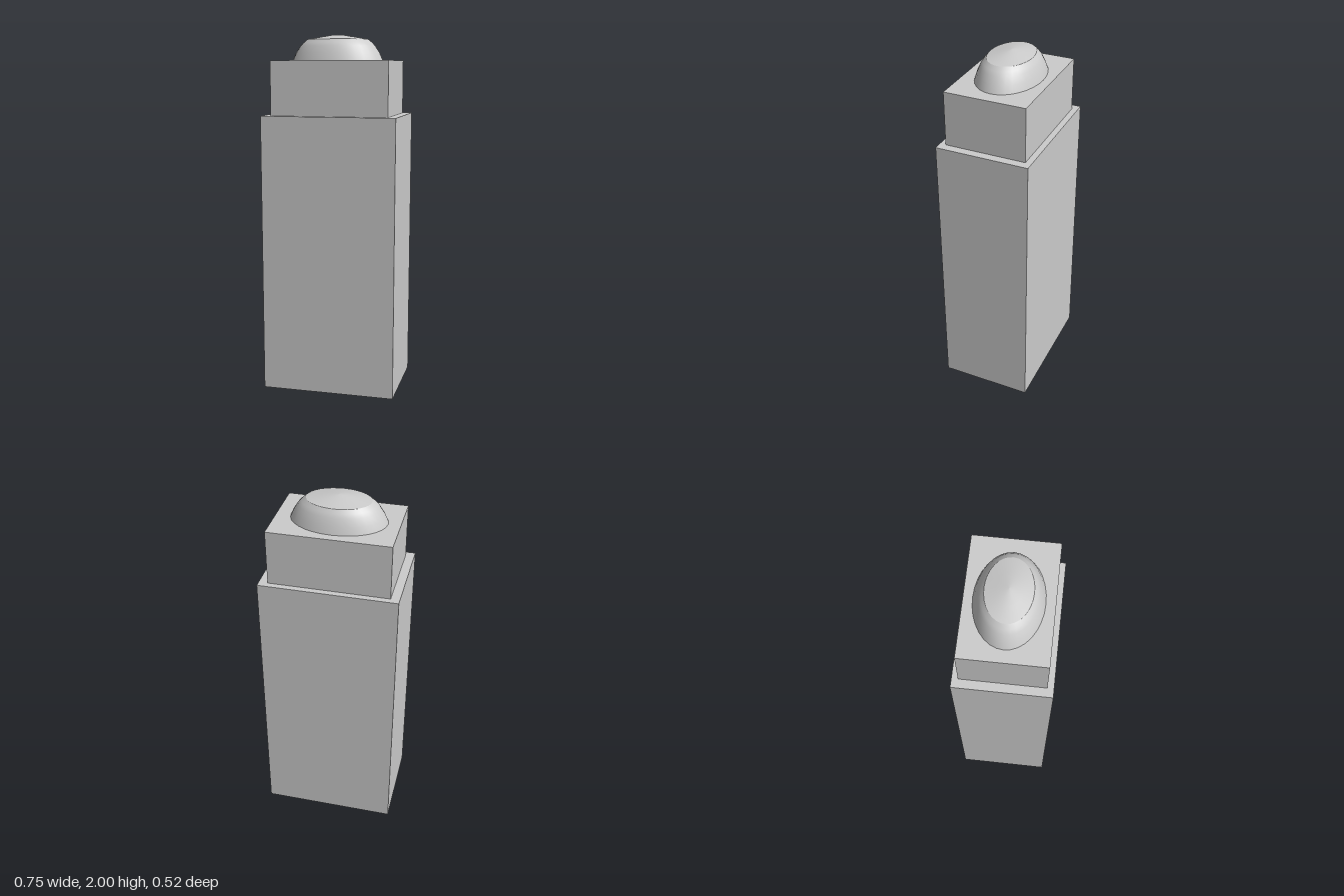
import * as THREE from 'three';

export function createModel() {
  const model = new THREE.Group();
  const material = new THREE.MeshStandardMaterial({ color: 0xcccccc });

  const add = (name, geometry) => {
    const mesh = new THREE.Mesh(geometry, material);
    mesh.name = name;
    model.add(mesh);
    return mesh;
  };

  // Box resting on height y0
  const block = (name, w, y0, y1, d) => {
    add(name, new THREE.BoxGeometry(w, y1 - y0, d)).position.y = (y0 + y1) / 2;
  };

  // Oval turned surface, profile listed from bottom to top
  const oval = (name, profile) => {
    const points = profile.map(([r, y]) => new THREE.Vector2(r, y));
    const mesh = add(name, new THREE.LatheGeometry(points, 32));
    mesh.scale.z = 0.691;
    mesh.position.set(-0.005, 0, -0.001);
  };

  // Stepped tower
  block('mainBody', 0.75, 0, 1.56, 0.518);
  block('upperBlock', 0.654, 1.56, 1.86, 0.45);

  // Dome: rounded flank, then a shallow pointed cap with a crisp rim
  oval('domeFlank', [[0.256, 1.86], [0.238, 1.9], [0.213, 1.938], [0.195, 1.957], [0.172, 1.975]]);
  oval('domeCap', [[0.172, 1.975], [0.09, 1.989], [0.03, 1.998], [0, 2]]);

  return model;
}
